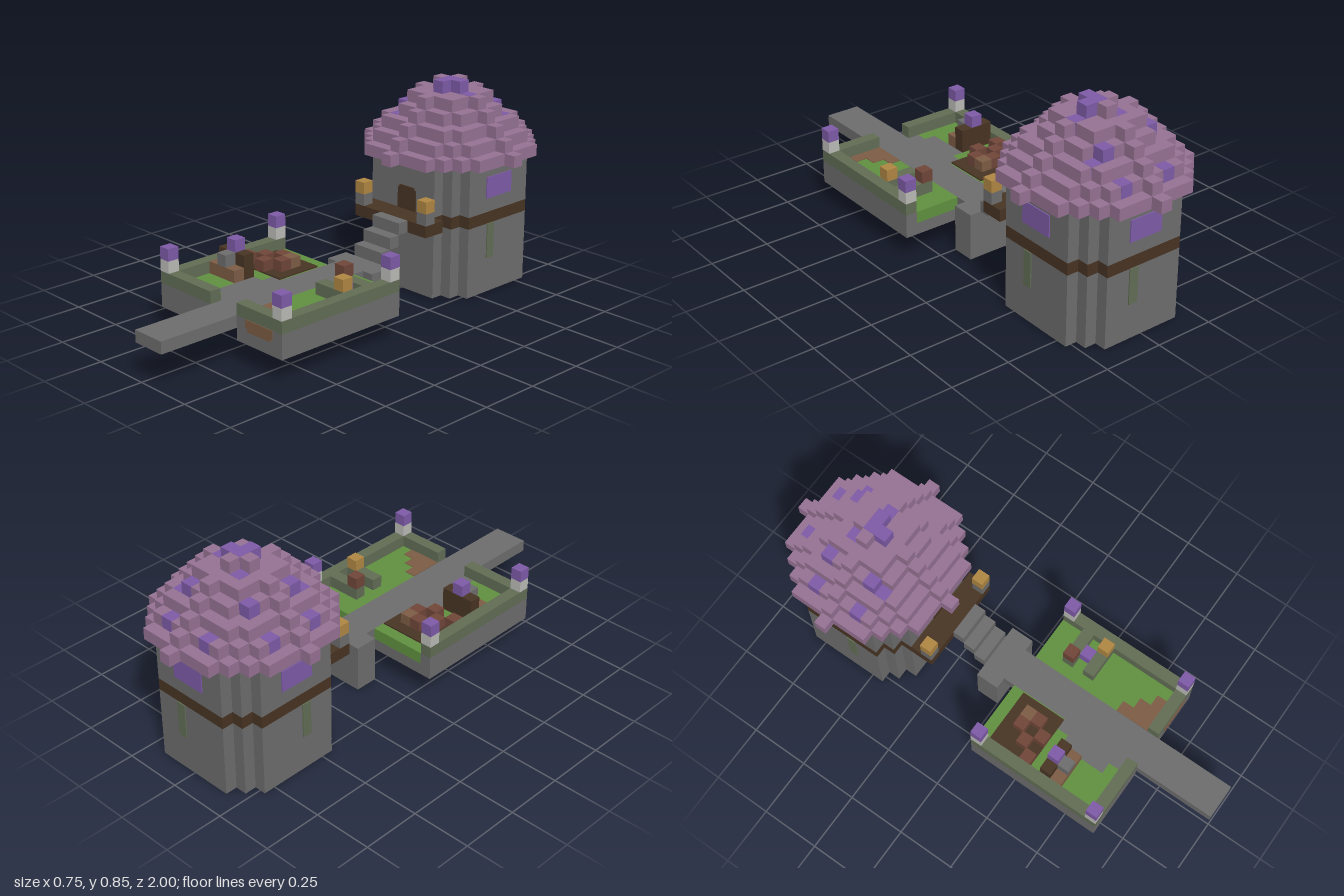
import * as THREE from 'three';

const U = 0.05; // block size

function material(name, color) {
  const m = new THREE.MeshStandardMaterial({ color });
  m.name = name;
  return m;
}

export function createModel() {
  const model = new THREE.Group();
  model.name = 'towerWithGarden';
  const stone = material('stone', 0x6d6d6d);
  const wood = material('darkWood', 0x483423);
  const moss = material('mossyStone', 0x626d55);
  const mauve = material('mauve', 0x967294);
  const purple = material('purple', 0x7e5ba8);
  const gold = material('gold', 0xb08743);
  const pale = material('paleStone', 0xbbbbb8);
  const grass = material('grass', 0x609140);
  const clay = material('clay', 0x704639);
  const dirt = material('dirt', 0x7d5c45);

  // Box given by its lower and upper limits
  function box(name, mat, x0, x1, y0, y1, z0, z1, parent = model) {
    const mesh = new THREE.Mesh(new THREE.BoxGeometry(x1 - x0, y1 - y0, z1 - z0), mat);
    mesh.position.set((x0 + x1) / 2, (y0 + y1) / 2, (z0 + z1) / 2);
    mesh.name = name;
    parent.add(mesh);
    return mesh;
  }
  // One block centred on x, z with its bottom at y
  const block = (name, mat, x, y, z, grow = 0, parent = model) =>
    box(name, mat, x - U / 2 - grow, x + U / 2 + grow, y, y + U + grow,
      z - U / 2 - grow, z + U / 2 + grow, parent);

  // Stepped disc made of rows of blocks around the tower axis
  const CZ = -0.625;
  function disc(name, mat, r2, y0, y1) {
    const group = new THREE.Group();
    group.name = name;
    const n = Math.min(Math.floor(Math.sqrt(r2)), 7);
    for (let k = -n; k <= n; k++) {
      const half = (Math.floor(Math.sqrt(r2 - k * k)) + 0.5) * U;
      box(name + 'Row', mat, -half, half, y0, y1, CZ + (k - 0.5) * U, CZ + (k + 0.5) * U, group);
    }
    model.add(group);
  }

  // Tower walls with a timber band
  disc('towerBase', stone, 34, 0, 0.3);
  disc('towerBand', wood, 34, 0.3, 0.35);
  disc('towerUpper', stone, 34, 0.35, 0.55);

  // Domed roof in six steps
  const radii = [7, 6, 5, 4, 3, 1];
  radii.forEach((r, i) => disc('roofLayer', mauve, r * r, 0.55 + i * U, 0.6 + i * U));

  // Purple roof blocks, each in the top layer at its place
  const spots = [[-2, -5], [2, -5], [-5, -2], [-3, -2], [2, -3], [3, -3], [-5, 2], [-3, 2],
    [-3, 3], [-1, -1], [1, 0], [0, 1], [0, 0], [2, 0]];
  for (const [i, k] of spots) {
    let layer = 0;
    radii.forEach((r, n) => { if (i * i + k * k <= r * r) layer = n; });
    block('roofSpot', purple, i * U, 0.55 + layer * U, CZ + k * U, 0.001);
  }

  // Windows on the sides and the back, with moss streaks below
  for (const s of [-1, 1]) {
    const x = s * 0.277;
    box('sideWindow', purple, x - 0.003, x + 0.003, 0.41, 0.5, -0.7, -0.55);
    box('mossStreak', moss, x - 0.003, x + 0.003, 0.15, 0.3, -0.6, -0.56);
  }
  box('backWindow', purple, -0.075, 0.075, 0.41, 0.5, -0.905, -0.899);
  box('mossStreak', moss, 0.03, 0.07, 0.15, 0.3, -0.905, -0.899);

  // Door with clipped upper corners
  box('door', wood, -0.025, 0.075, 0.35, 0.44, -0.351, -0.346);
  box('doorTop', wood, -0.015, 0.065, 0.44, 0.45, -0.351, -0.346);

  // Balcony with two lamp posts
  box('balcony', wood, -0.175, 0.225, 0.3, 0.35, -0.35, -0.25);
  for (const x of [-0.15, 0.2]) {
    block('lampPost', stone, x, 0.35, -0.275);
    block('lamp', gold, x, 0.4, -0.275);
  }

  // Steps, pier and path
  for (let i = 0; i < 3; i++) {
    box('step', stone, -0.025, 0.125, 0.2 + i * U, 0.25 + i * U, -0.15 - i * U, -0.1 - i * U);
  }
  box('pier', stone, -0.075, 0.175, 0, 0.2, -0.1, 0);
  box('path', stone, -0.025, 0.125, 0.15, 0.2, 0, 1);

  // Left garden bed, cut back in steps where the path widens
  const rows = [[0.05, 0.3, -0.025], [0.3, 0.35, -0.075], [0.35, 0.55, -0.125],
    [0.55, 0.6, -0.075], [0.6, 0.65, -0.025]];
  for (const [z0, z1, x1] of rows) {
    box('leftBed', stone, -0.325, x1, 0.1, 0.15, z0, z1);
    box('leftLawn', z1 > 0.6 ? stone : grass, -0.275, x1, 0.15, 0.2, z0, z1);
    if (x1 < -0.025) box('pathWidening', stone, x1, -0.025, 0.15, 0.2, z0, z1);
  }
  box('leftBedSide', stone, -0.325, -0.275, 0.15, 0.2, 0.05, 0.65);

  // Right garden bed
  box('rightBed', stone, 0.125, 0.375, 0.1, 0.15, 0.05, 0.65);
  box('rightLawn', grass, 0.125, 0.325, 0.15, 0.2, 0.05, 0.6);
  box('rightBedSide', stone, 0.325, 0.375, 0.15, 0.2, 0.05, 0.65);
  box('rightBedFront', stone, 0.125, 0.325, 0.15, 0.2, 0.6, 0.65);

  // Mossy garden walls
  box('leftWall', moss, -0.325, -0.275, 0.2, 0.25, 0.05, 0.65);
  box('leftFrontWall', moss, -0.275, -0.025, 0.2, 0.25, 0.6, 0.65);
  box('rightWall', moss, 0.325, 0.375, 0.2, 0.25, 0.05, 0.65);
  box('rightFrontWall', moss, 0.125, 0.325, 0.2, 0.25, 0.6, 0.65);

  // Corner lanterns
  for (const x of [-0.3, 0.35]) for (const z of [0.075, 0.625]) {
    block('lanternPost', pale, x, 0.25, z);
    block('lantern', purple, x, 0.3, z);
  }

  // Bare earth on the right lawn and on its front wall
  for (let i = 0; i < 3; i++) {
    box('earthPatch', dirt, 0.125, 0.175 + i * U, 0.199, 0.203, 0.45 + i * U, 0.5 + i * U);
  }
  box('wallPatch', dirt, 0.175, 0.325, 0.165, 0.2, 0.648, 0.653);
  box('wallPatchEdge', dirt, 0.185, 0.315, 0.152, 0.165, 0.648, 0.653);

  // Tilled plot with clay blocks
  box('plot', wood, -0.275, -0.03, 0.199, 0.206, 0.1, 0.3);
  for (const [x, z] of [[-0.25, 0.275], [-0.2, 0.225], [-0.15, 0.275], [-0.15, 0.175], [-0.1, 0.225]]) {
    block('clayBlock', clay, x, 0.2, z);
  }
  block('earthMound', dirt, -0.1, 0.2, 0.175);

  // Planter at the front of the plot
  box('planterBack', wood, -0.275, -0.125, 0.2, 0.3, 0.35, 0.4);
  block('planterFlower', purple, -0.2, 0.3, 0.375);
  box('planterFront', dirt, -0.275, -0.125, 0.2, 0.25, 0.4, 0.45);
  block('planterStone', stone, -0.2, 0.25, 0.425);

  // Low ruin on the right lawn
  for (const [x, z] of [[0.2, 0.175], [0.25, 0.175], [0.3, 0.175], [0.2, 0.275], [0.25, 0.275], [0.3, 0.275]]) {
    block('ruinBlock', moss, x, 0.2, z);
  }
  block('ruinClay', clay, 0.2, 0.25, 0.175);
  block('ruinGold', gold, 0.3, 0.25, 0.275);
  block('ruinFlower', purple, 0.25, 0.2, 0.225);

  return model;
}
